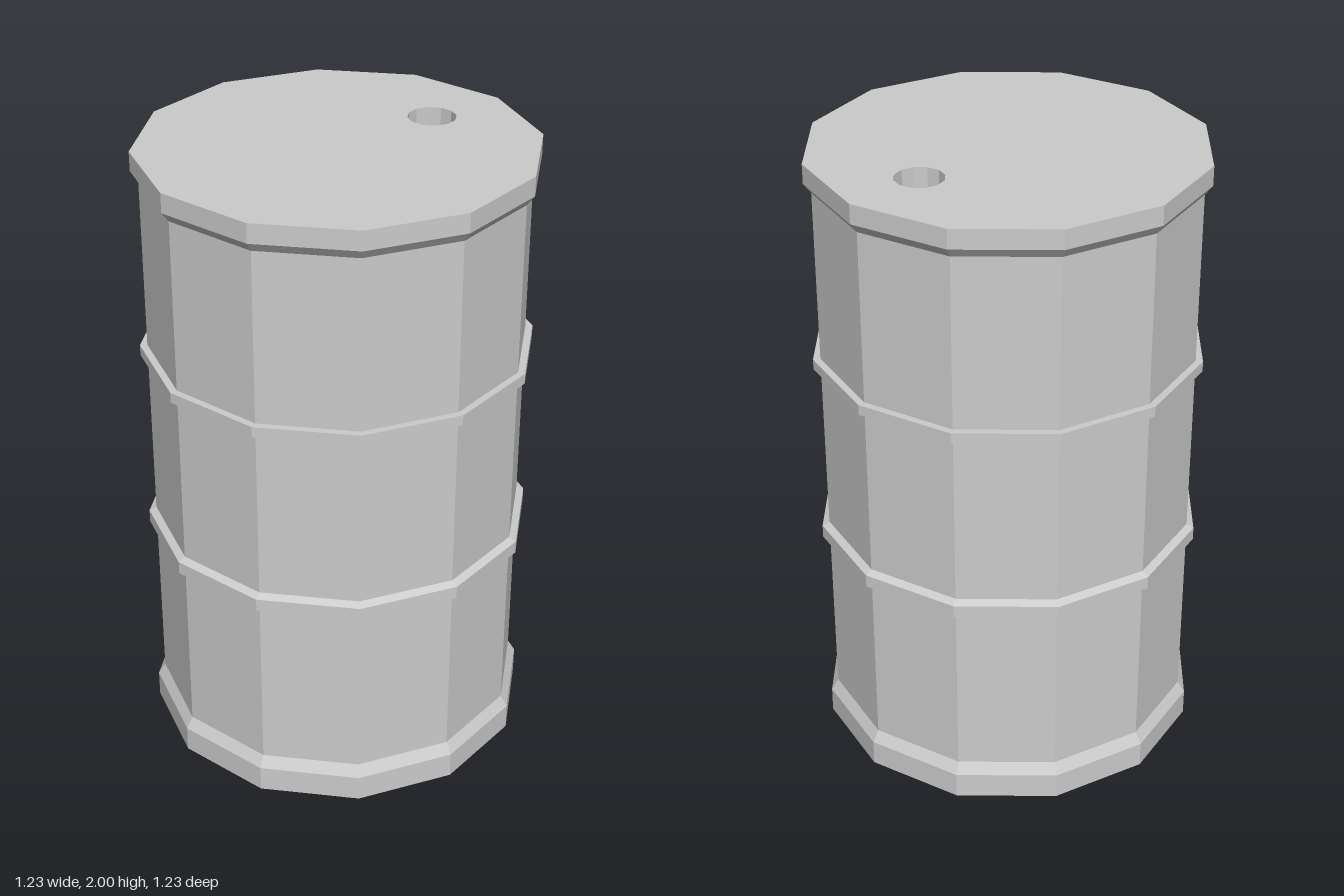
import * as THREE from 'three';

const SIDES = 12;
const RIM = 0.617;   // radius of rims and bands
const WALL = 0.594;  // radius of the plain wall
const HEIGHT = 2;
const HOLE = { x: 0.355, r: 0.076, depth: 0.1 };

const material = new THREE.MeshStandardMaterial({ color: 0xcccccc, flatShading: true });

// Faceted revolved part from [radius, y] pairs
function revolve(name, profile) {
  const points = profile.map(([r, y]) => new THREE.Vector2(r, y));
  const mesh = new THREE.Mesh(new THREE.LatheGeometry(points, SIDES), material);
  mesh.name = name;
  return mesh;
}

// Corners of a regular polygon
function polygon(radius, cx = 0) {
  return Array.from({ length: SIDES }, (_, i) => {
    const a = (i / SIDES) * Math.PI * 2;
    return new THREE.Vector2(cx + radius * Math.cos(a), radius * Math.sin(a));
  });
}

export function createModel() {
  const drum = new THREE.Group();
  drum.name = 'drum';

  // Base, flared rims, walls and the two raised bands
  drum.add(revolve('body', [
    [0, 0], [RIM, 0], [RIM, 0.085], [WALL, 0.122],
    [WALL, 0.706], [RIM, 0.706], [RIM, 0.748], [WALL, 0.76],
    [WALL, 1.312], [RIM, 1.323], [RIM, 1.357], [WALL, 1.357],
    [WALL, 1.907], [RIM, 1.938], [RIM, HEIGHT],
  ]));

  // Flat lid with the filler opening
  const shape = new THREE.Shape(polygon(RIM));
  shape.holes.push(new THREE.Path(polygon(HOLE.r, HOLE.x)));
  const lid = new THREE.Mesh(new THREE.ShapeGeometry(shape).rotateX(-Math.PI / 2), material);
  lid.name = 'lid';
  lid.position.y = HEIGHT;
  drum.add(lid);

  // Recessed well below the opening
  const well = revolve('fillerHole', [[HOLE.r, 0], [HOLE.r, -HOLE.depth], [0, -HOLE.depth]]);
  well.position.set(HOLE.x, HEIGHT, 0);
  drum.add(well);

  return drum;
}
